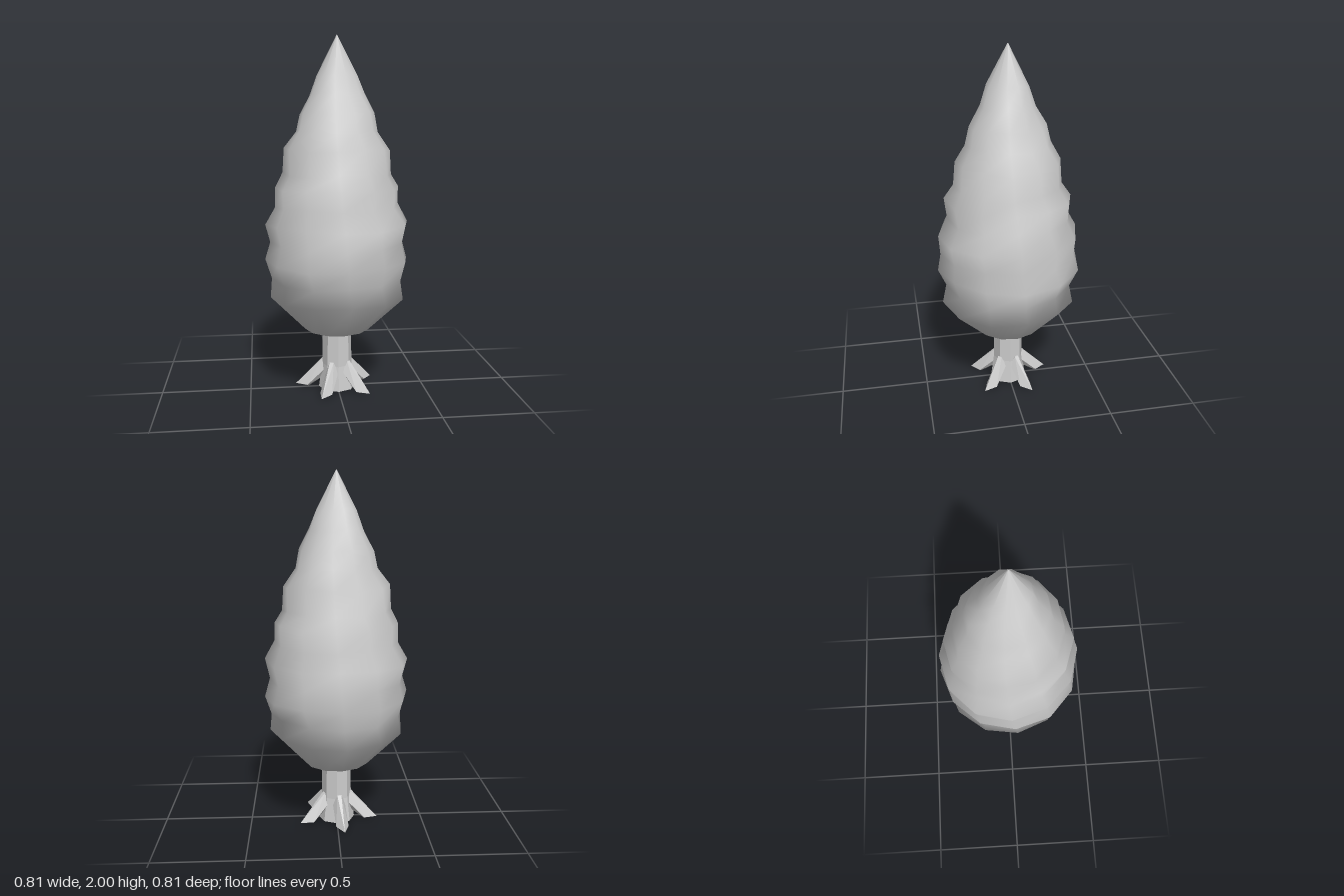
import * as THREE from 'three';
import { ConvexGeometry } from 'three/addons/geometries/ConvexGeometry.js';

const SIDES = 12;

// Ring profile of the crown, bottom to top: [radius, height]
const PROFILE = [
  [0.002, 0.32], [0.085, 0.322], [0.185, 0.355], [0.385, 0.555], [0.367, 0.655],
  [0.407, 0.76], [0.383, 0.86], [0.4, 0.965], [0.345, 1.065], [0.351, 1.17],
  [0.303, 1.245], [0.293, 1.38], [0.23, 1.475], [0.208, 1.575], [0.15, 1.68],
  [0.113, 1.785], [0.002, 2.0],
];

// Positions of all ring corners for the given radii, slightly twisted and uneven
function ringPositions(radii) {
  const out = [];
  PROFILE.forEach(([, y], i) => {
    const mid = i > 2 && i < PROFILE.length - 1 ? 1 : 0;
    for (let k = 0; k < SIDES; k++) {
      const a = (k / SIDES) * Math.PI * 2 - 0.05 + (i - 5) * 0.025;
      const r = radii[i] * (1 + mid * 0.015 * Math.sin(2 * a + i * 1.9));
      out.push(r * Math.cos(a), y + mid * 0.008 * Math.sin(3 * a + i), r * Math.sin(a));
    }
  });
  return new THREE.Float32BufferAttribute(out, 3);
}

// Tiered crown: wavy surface, softly shaded with the normals of its smoothed outline
function crownGeometry() {
  const radii = PROFILE.map((p) => p[0]);
  const last = radii.length - 1;
  const smooth = radii.map((r, i) =>
    i < 3 || i === last ? r : (radii[i - 1] + 2 * r + radii[i + 1]) / 4);
  const index = [];
  for (let i = 0; i < last; i++) {
    for (let k = 0; k < SIDES; k++) {
      const a = i * SIDES + k;
      const b = i * SIDES + ((k + 1) % SIDES);
      index.push(a, a + SIDES, b, b, a + SIDES, b + SIDES);
    }
  }
  const geo = new THREE.BufferGeometry();
  geo.setIndex(index);
  geo.setAttribute('position', ringPositions(smooth));
  geo.computeVertexNormals();
  geo.setAttribute('position', ringPositions(radii));
  return geo;
}

// One angular root, sloping from the trunk down to a pointed toe along +x
function rootGeometry() {
  const corners = [
    [0.065, 0.165, 0], [0.085, 0.165, 0.012], [0.085, 0.165, -0.012],
    [0.07, 0.11, 0.036], [0.07, 0.11, -0.036], [0.07, 0.06, 0],
    [0.17, 0.012, 0.036], [0.17, 0.012, -0.036],
    [0.165, 0.0, 0.015], [0.165, 0.0, -0.015], [0.24, 0.008, 0],
  ];
  return new ConvexGeometry(corners.map((c) => new THREE.Vector3(...c)));
}

export function createModel() {
  const model = new THREE.Group();
  model.name = 'tree';
  const grey = new THREE.MeshStandardMaterial({ color: 0xcccccc });
  grey.name = 'pale grey';
  const greyFlat = grey.clone();
  greyFlat.name = 'pale grey faceted';
  greyFlat.flatShading = true;

  const add = (name, geo, mat) => {
    const mesh = new THREE.Mesh(geo, mat);
    mesh.name = name;
    model.add(mesh);
    return mesh;
  };

  add('crown', crownGeometry(), grey);

  // Faceted trunk with a slightly wider foot
  const trunk = add('trunk', new THREE.CylinderGeometry(0.082, 0.086, 0.22, 8), greyFlat);
  trunk.position.y = 0.25;
  const foot = add('trunkFoot', new THREE.CylinderGeometry(0.086, 0.105, 0.14, 8), greyFlat);
  foot.position.y = 0.07;

  // Five roots around the trunk
  const root = rootGeometry();
  for (let i = 0; i < 5; i++) {
    const angle = THREE.MathUtils.degToRad(-99 + i * 72);
    add('root', root, greyFlat).rotation.y = -angle;
  }
  return model;
}
